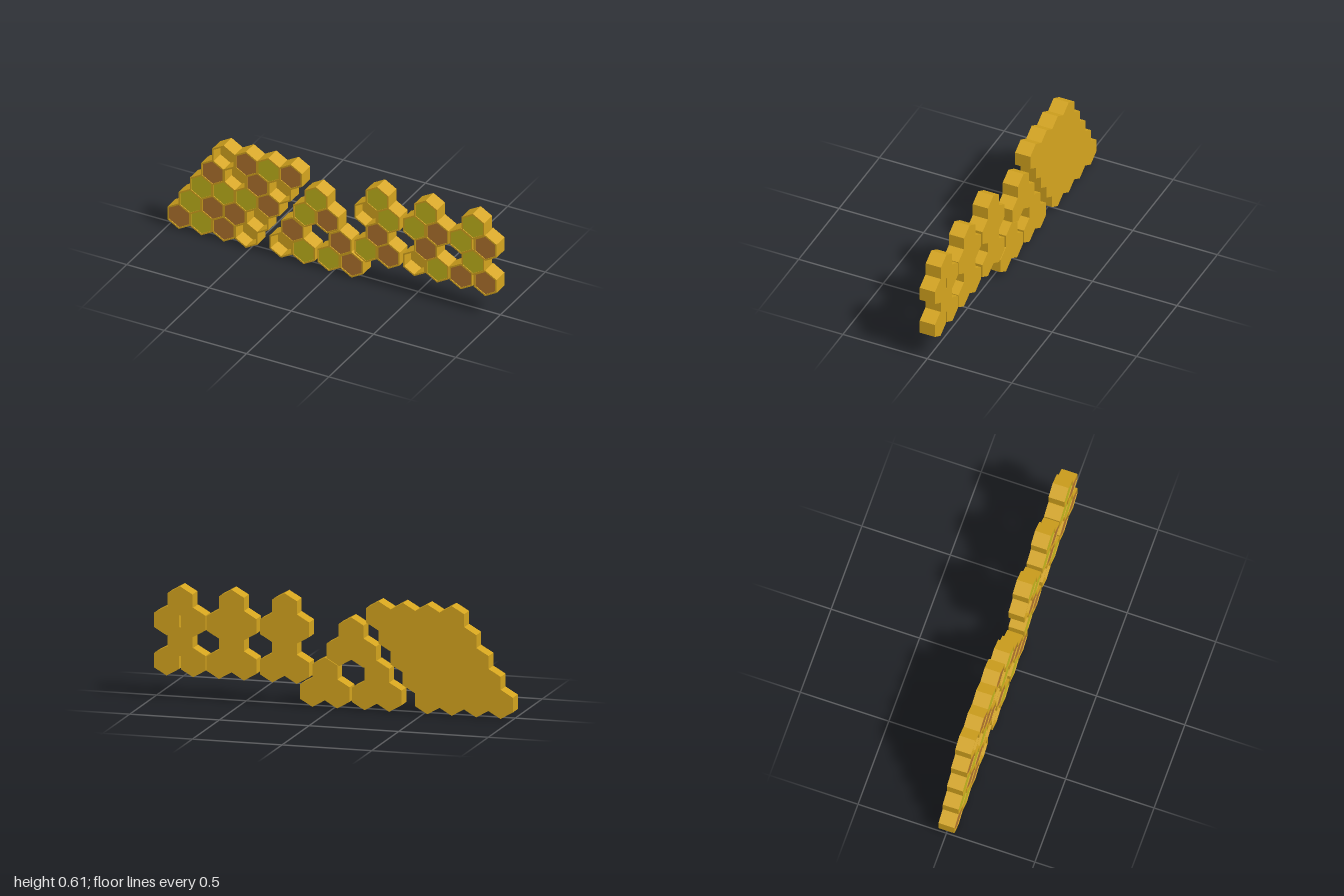
import * as THREE from 'three';

const R = 0.08, INNER = 0.07, DEPTH = 0.09, FLOOR = 0.012, RECESS = 0.004;

const material = (color) => new THREE.MeshStandardMaterial({ color, flatShading: true });

// Pointy-top hexagon outline
function hexPoints(r) {
  return Array.from({ length: 6 }, (_, i) => {
    const a = Math.PI / 6 + (i * Math.PI) / 3;
    return new THREE.Vector2(r * Math.cos(a), r * Math.sin(a));
  });
}

function hexPrism(r, depth, holeRadius) {
  const shape = new THREE.Shape(hexPoints(r));
  if (holeRadius) shape.holes.push(new THREE.Path(hexPoints(holeRadius).reverse()));
  return new THREE.ExtrudeGeometry(shape, { depth, bevelEnabled: false });
}

// Each cell is [x, y, filling]: g = green, b = brown, o = open
function clusters() {
  const block = [];
  ['bgbo', 'gbbo', 'gggb', 'bobo', 'obgb'].forEach((row, j) => {
    [...row].forEach((c, i) => block.push([-0.931 + 0.068 * j + 0.136 * i, 0.08 + 0.11 * j, c]));
  });
  const arch = [
    [-0.098, 0.423, 'g'], [-0.167, 0.312, 'g'], [-0.031, 0.312, 'b'],
    [-0.241, 0.195, 'b'], [0.048, 0.195, 'b'],
    [-0.31, 0.08, 'o'], [-0.173, 0.08, 'g'], [-0.02, 0.08, 'g'], [0.118, 0.08, 'b'],
  ];
  // Three hourglass figures: top, upper pair, middle, lower pair
  const figure = (top, left, right, fill) =>
    [[top, 0.532], [left, 0.42], [right, 0.42], [top, 0.31], [left, 0.2], [right, 0.2]]
      .map(([x, y], i) => [x, y, fill[i]]);
  return {
    slantedBlock: block,
    arch,
    figureOne: figure(0.274, 0.205, 0.342, 'gogbgb'),
    figureTwo: figure(0.569, 0.5, 0.639, 'ggbbog'),
    figureThree: figure(0.856, 0.783, 0.931, 'ggbgbb'),
  };
}

export function createModel() {
  const model = new THREE.Group();
  model.name = 'honeycombPanel';

  const body = material(0xd4a41e);
  const fillings = { g: material(0xc0b41c), b: material(0xb0732d) };
  const wallGeo = hexPrism(R, DEPTH, INNER);
  const floorGeo = hexPrism(INNER, FLOOR);
  const fillGeo = hexPrism(INNER, DEPTH - FLOOR - RECESS);

  for (const [name, cells] of Object.entries(clusters())) {
    const cluster = new THREE.Group();
    cluster.name = name;
    for (const [x, y, c] of cells) {
      const add = (part, geo, mat, z) => {
        const mesh = new THREE.Mesh(geo, mat);
        mesh.name = part;
        mesh.position.set(x, y, z);
        cluster.add(mesh);
      };
      add('cellWall', wallGeo, body, -DEPTH / 2);
      add('cellFloor', floorGeo, body, -DEPTH / 2);
      if (fillings[c]) add('cellFilling', fillGeo, fillings[c], -DEPTH / 2 + FLOOR);
    }
    model.add(cluster);
  }
  return model;
}
